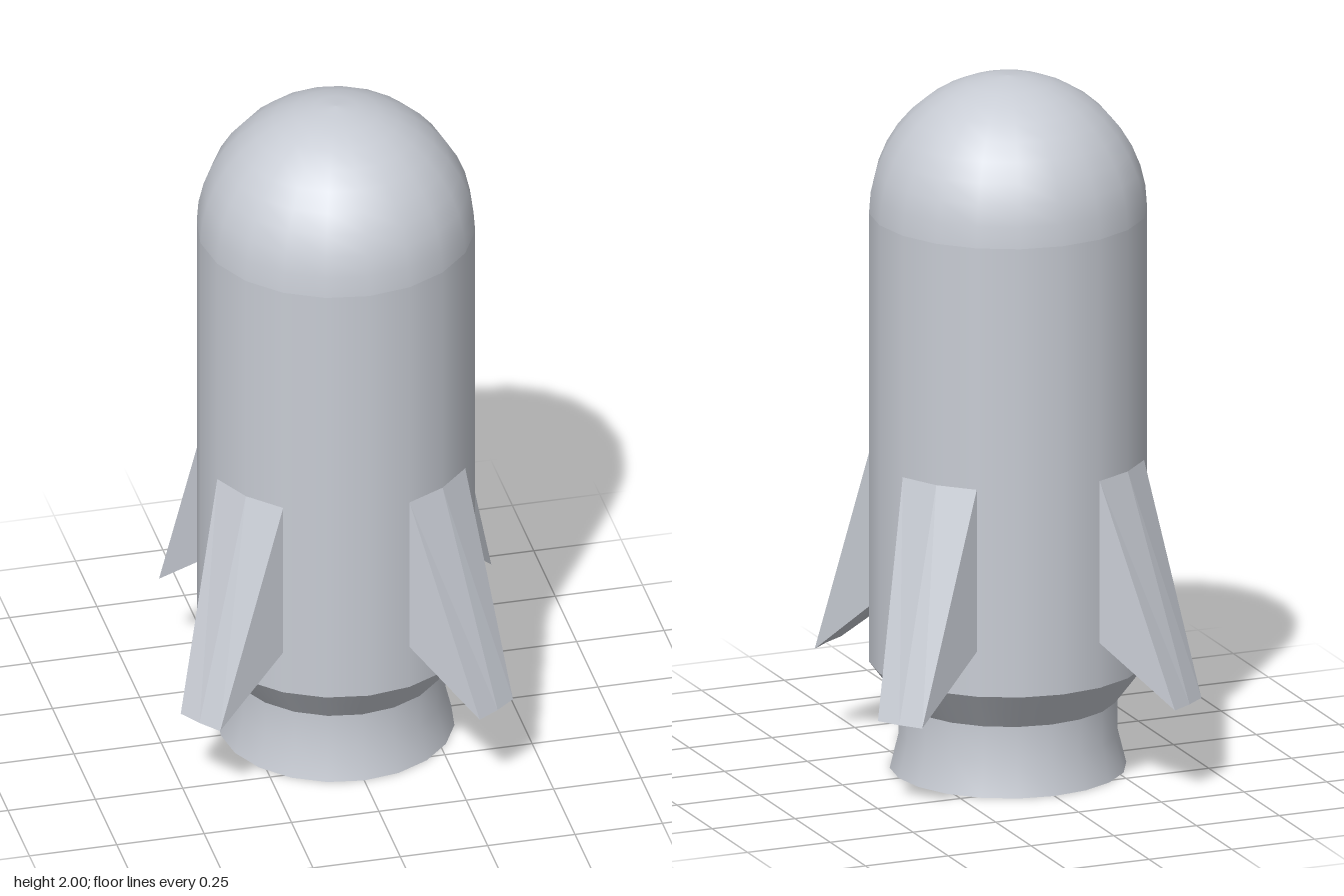
import * as THREE from 'three';

const SIDES = 20;
const BODY_R = 0.388;

const paint = new THREE.MeshStandardMaterial({ color: 0xc8ccd4 });
paint.name = 'pale grey';

// Revolved section; smooth within one profile, creased between profiles
function section(name, profile) {
  const points = profile.map(([r, y]) => new THREE.Vector2(r, y));
  const mesh = new THREE.Mesh(new THREE.LatheGeometry(points, SIDES), paint);
  mesh.name = name;
  return mesh;
}

// Swept fin: a wide root two body facets across, narrowing to a sharp lower edge
function finGeometry() {
  const at = (r, y, degrees) => {
    const a = THREE.MathUtils.degToRad(degrees);
    return new THREE.Vector3(r * Math.sin(a), y, r * Math.cos(a));
  };
  const columns = [-1, 0, 1].map((s) => ({
    top: at(BODY_R, 0.91, 18 * s),
    root: at(BODY_R, 0.44, 18 * s),
    tip: at(0.588, 0.265, 7 * s),
  }));
  const corners = [];
  const quad = (a, b, c, d) => corners.push(a, b, c, a, c, d);
  for (let i = 0; i < 2; i++) {
    const l = columns[i], r = columns[i + 1];
    quad(l.top, l.tip, r.tip, r.top); // outer face
    quad(l.tip, l.root, r.root, r.tip); // underside
  }
  const [left, , right] = columns;
  corners.push(left.top, left.root, left.tip, right.top, right.tip, right.root);
  const geometry = new THREE.BufferGeometry().setFromPoints(corners);
  geometry.computeVertexNormals();
  return geometry;
}

export function createModel() {
  const model = new THREE.Group();
  model.name = 'rocket';

  // Rounded nose
  const dome = [];
  for (let i = 0; i <= 10; i++) {
    const a = (i / 10) * Math.PI / 2;
    dome.push([BODY_R * Math.cos(a), 1.61 + 0.39 * Math.sin(a)]);
  }
  model.add(section('noseDome', dome));

  // Hull and its taper towards the engine
  model.add(section('hull', [[BODY_R, 0.31], [BODY_R, 1.61]]));
  model.add(section('hullTaper', [[0.305, 0.2], [BODY_R, 0.31]]));

  // Hollow flared nozzle
  model.add(section('nozzleOuter', [[0.33, 0], [0.305, 0.1], [0.305, 0.2]]));
  model.add(section('nozzleRim', [[0.258, 0], [0.33, 0]]));
  model.add(section('nozzleInner', [[0.258, 0.27], [0.258, 0]]));
  model.add(section('nozzleCeiling', [[0, 0.27], [0.258, 0.27]]));

  // Four fins
  const geometry = finGeometry();
  for (let k = 0; k < 4; k++) {
    const fin = new THREE.Mesh(geometry, paint);
    fin.name = `fin${k + 1}`;
    fin.rotation.y = THREE.MathUtils.degToRad(36 + 90 * k);
    model.add(fin);
  }
  return model;
}
